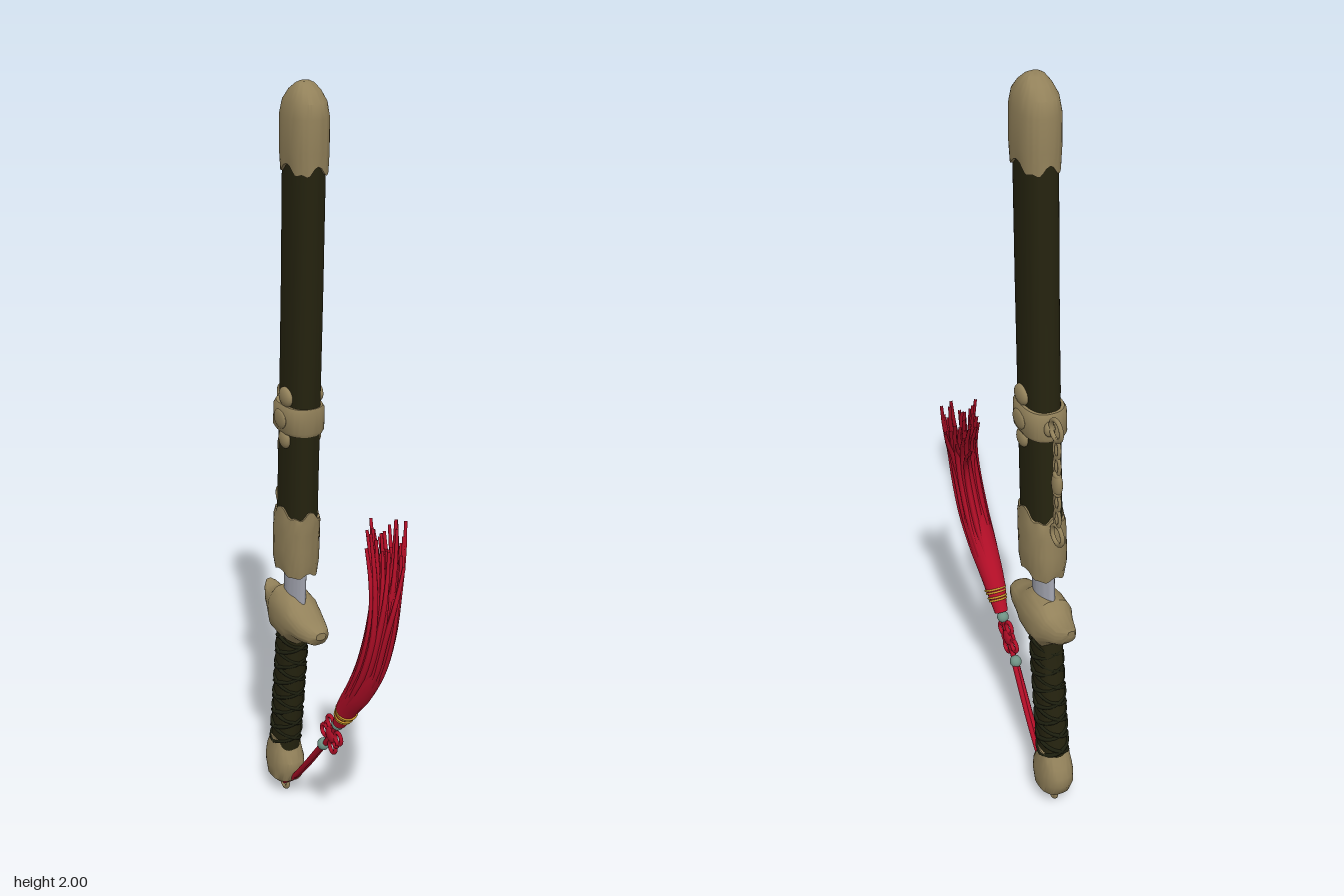
import * as THREE from 'three';
import { mergeGeometries, toCreasedNormals } from 'three/addons/utils/BufferGeometryUtils.js';

const CX = -0.016; // centre plane of the sword
const mat = (name, color) => Object.assign(new THREE.MeshStandardMaterial({ color }), { name });
const V = (x, y, z) => new THREE.Vector3(x, y, z);

// Rounded cross-sections [pos, edgeA, edgeB, halfWidth, jag] joined along y (or along z)
function loft(sections, { alongZ = false, power = 0.8, bumps = 0, seg = 48 } = {}) {
  const pos = [], idx = [];
  const put = (x, u, v) => (alongZ ? pos.push(x, v, u) : pos.push(x, u, v));
  const sp = (t) => Math.sign(t) * Math.abs(t) ** power;
  sections.forEach(([u, a, b, hw, jag = 0], i) => {
    for (let j = 0; j < seg; j++) {
      const t = (j / seg) * Math.PI * 2;
      const r = 1 + bumps * Math.sin(t * 6 + i * 2.1) * Math.cos(i * 1.7 + t * 2);
      const edge = jag * (Math.cos(t * 4) * 0.6 + Math.cos(t * 8) * 0.4);
      put(CX + hw * r * sp(Math.cos(t)), u + edge, (a + b) / 2 + (Math.abs(a - b) / 2) * r * sp(Math.sin(t)));
    }
  });
  const n = sections.length, c0 = n * seg;
  for (const s of [sections[0], sections[n - 1]]) put(CX, s[0], (s[1] + s[2]) / 2);
  for (let j = 0; j < seg; j++) {
    const k = (j + 1) % seg;
    for (let i = 0; i < n - 1; i++) {
      const a = i * seg + j, b = i * seg + k;
      idx.push(a, a + seg, b, b, a + seg, b + seg);
    }
    idx.push(c0, j, k, c0 + 1, (n - 1) * seg + k, (n - 1) * seg + j);
  }
  const g = new THREE.BufferGeometry();
  g.setAttribute('position', new THREE.Float32BufferAttribute(pos, 3));
  g.setIndex(idx);
  return toCreasedNormals(g, 0.6);
}

// Tube whose radius follows a rule of t
function taperTube(points, radius, steps = 16, sides = 6) {
  const curve = new THREE.CatmullRomCurve3(points);
  const g = new THREE.TubeGeometry(curve, steps, 1, sides);
  const p = g.attributes.position, v = new THREE.Vector3();
  for (let i = 0; i < p.count; i++) {
    const t = Math.floor(i / (sides + 1)) / steps, c = curve.getPointAt(t);
    v.fromBufferAttribute(p, i).sub(c).multiplyScalar(radius(t)).add(c);
    p.setXYZ(i, v.x, v.y, v.z);
  }
  return g;
}

const ring = (x, y, z, R, r, sy = 1, sz = 1) =>
  new THREE.TorusGeometry(R, r, 8, 20).rotateY(Math.PI / 2).scale(1, sy, sz).translate(x, y, z);
const ball = (x, y, z, rx, ry, rz) => new THREE.SphereGeometry(1, 18, 12).scale(rx, ry, rz).translate(x, y, z);

export function createModel() {
  const group = new THREE.Group();
  const bronze = mat('bronze', 0x92815a), dark = mat('darkLacquer', 0x25230f), wrap = mat('gripCord', 0x1d1f0f);
  const steel = mat('steel', 0xa3a5b0), red = mat('redSilk', 0xb20e27), jade = mat('jade', 0x6f9284), gold = mat('goldThread', 0xcf9a2c);
  const add = (name, geo, m) => {
    const mesh = new THREE.Mesh(Array.isArray(geo) ? mergeGeometries(geo) : geo, m);
    mesh.name = name;
    group.add(mesh);
  };

  // Scabbard and its fittings
  add('scabbard', loft([[0.85, -0.09, -0.226, 0.042], [1.2, -0.072, -0.203, 0.042], [1.5, -0.056, -0.187, 0.042], [1.85, -0.04, -0.172, 0.042]]), dark);
  add('scabbardTip', loft([
    [1.795, -0.036, -0.177, 0.047, 0.016], [1.84, -0.035, -0.176, 0.05], [1.92, -0.032, -0.175, 0.05], [1.955, -0.038, -0.166, 0.045],
    [1.98, -0.06, -0.142, 0.034], [1.995, -0.08, -0.12, 0.022], [2, -0.09, -0.11, 0.012]], { bumps: 0.02 }), bronze);
  add('scabbardBand', loft([[1.125, -0.075, -0.215, 0.05], [1.135, -0.071, -0.219, 0.056], [1.19, -0.068, -0.214, 0.056], [1.2, -0.07, -0.21, 0.05]]), bronze);
  for (const s of [-1, 1])
    add('bandOrnament', [ball(CX + s * 0.043, 1.222, -0.13, 0.013, 0.026, 0.03), ball(CX + s * 0.043, 1.108, -0.138, 0.013, 0.026, 0.024),
      ball(CX + s * 0.055, 1.163, -0.14, 0.007, 0.025, 0.03)], bronze);
  add('scabbardThroat', loft([
    [0.725, -0.1, -0.232, 0.046, 0.008], [0.76, -0.094, -0.238, 0.05], [0.8, -0.092, -0.236, 0.052],
    [0.85, -0.086, -0.234, 0.052], [0.88, -0.083, -0.232, 0.05], [0.9, -0.082, -0.228, 0.047, 0.016]], { bumps: 0.035 }), bronze);

  // Blade and hilt
  add('blade', loft([[0.6, -0.125, -0.228, 0.022], [0.78, -0.114, -0.218, 0.022]], { power: 1.2 }), steel);
  add('guard', loft([
    [-0.03, 0.572, 0.592, 0.014], [-0.045, 0.552, 0.603, 0.03], [-0.08, 0.545, 0.612, 0.042], [-0.12, 0.538, 0.632, 0.05],
    [-0.142, 0.515, 0.652, 0.054], [-0.18, 0.512, 0.658, 0.056], [-0.225, 0.515, 0.655, 0.054], [-0.25, 0.543, 0.632, 0.044],
    [-0.29, 0.565, 0.622, 0.03], [-0.31, 0.585, 0.628, 0.02], [-0.322, 0.61, 0.628, 0.01]], { alongZ: true, bumps: 0.03 }), bronze);
  add('grip', loft([[0.15, -0.192, -0.284, 0.034], [0.54, -0.138, -0.238, 0.036]]), dark);
  const cords = [];
  for (const dir of [-1, 1])
    for (const start of [0, Math.PI]) {
      const pts = [];
      for (let i = 0; i <= 64; i++) {
        const t = i / 64, a = start + dir * t * Math.PI * 7;
        pts.push(V(CX + 0.037 * Math.cos(a), 0.17 + t * 0.35, -0.237 + t * 0.048 + 0.047 * Math.sin(a)));
      }
      cords.push(taperTube(pts, () => 0.006, 110, 5));
    }
  add('gripWrap', cords, wrap);
  add('pommel', loft([
    [0.045, -0.205, -0.28, 0.034], [0.055, -0.19, -0.292, 0.042], [0.09, -0.175, -0.307, 0.045], [0.118, -0.175, -0.307, 0.045],
    [0.145, -0.19, -0.297, 0.042], [0.165, -0.196, -0.286, 0.04], [0.182, -0.2, -0.278, 0.038]], { bumps: 0.025 }), bronze);
  add('pommelRing', [ring(CX, 0.023, -0.243, 0.017, 0.006), ball(CX, 0.045, -0.243, 0.012, 0.01, 0.012)], bronze);

  // Hanging chain on the back of the scabbard
  const hx = -0.002;
  const chain = [ring(hx, 1.18, -0.25, 0.026, 0.006), ring(hx, 0.89, -0.265, 0.026, 0.006), ball(hx, 1.165, -0.218, 0.014, 0.02, 0.012)];
  for (const [y, z, h] of [[1.13, -0.255, 0.024], [1.085, -0.257, 0.024], [0.985, -0.261, 0.024], [0.938, -0.263, 0.024]])
    chain.push(ring(hx, y, z, 0.013, 0.0045, h / 0.013), ball(hx, y, z, 0.006, 0.02, 0.006));
  chain.push(ball(hx, 1.035, -0.259, 0.012, 0.035, 0.02), ball(hx, 1.06, -0.258, 0.01, 0.01, 0.015), ball(hx, 1.01, -0.26, 0.01, 0.01, 0.015));
  add('hangingChain', chain, bronze);

  // Cord, beads and decorative knot
  const cord = [-1, 1].map((s) => taperTube([V(CX, 0.02, -0.245), V(CX + s * 0.004, 0.055, -0.2), V(CX + s * 0.005 - 0.004, 0.15, -0.11),
    V(-0.028 + s * 0.003, 0.275, 0)], (t) => 0.006 + 0.002 * t, 20));
  cord.push(taperTube([V(-0.03, 0.27, 0), V(-0.03, 0.33, 0.048), V(-0.03, 0.43, 0.115)], () => 0.008));
  add('cord', cord, red);
  add('beads', [ball(-0.03, 0.283, 0.006, 0.016, 0.017, 0.017), ball(-0.03, 0.383, 0.083, 0.016, 0.016, 0.016)], jade);
  const knot = [ball(-0.03, 0.336, 0.05, 0.012, 0.024, 0.024)];
  for (let i = 0; i < 4; i++) {
    const a = 0.15 + (i * Math.PI) / 2;
    knot.push(ring(-0.03, 0.336 + 0.036 * Math.sin(a), 0.05 + 0.036 * Math.cos(a), 0.016, 0.0055));
    knot.push(ring(-0.03, 0.336 + 0.028 * Math.sin(a + 0.785), 0.05 + 0.028 * Math.cos(a + 0.785), 0.009, 0.005));
  }
  add('knot', knot, red);

  // Tassel: bound head, full body and loose strands
  const spine = [V(-0.03, 0.4, 0.097), V(-0.031, 0.46, 0.135), V(-0.03, 0.54, 0.195), V(-0.024, 0.63, 0.242), V(-0.017, 0.73, 0.27),
    V(-0.005, 0.84, 0.272), V(0.012, 0.93, 0.25), V(0.024, 1.01, 0.225)];
  const spread = [0.015, 0.024, 0.033, 0.036, 0.036, 0.042, 0.056, 0.072];
  add('tasselBody', taperTube(spine.slice(0, 6), (t) => (t < 0.12 ? 0.017 + 0.09 * t : 0.028 + 0.014 * Math.sin(Math.PI * (t - 0.12) / 0.88) - 0.018 * t * t), 24, 16), red);
  let seed = 7;
  const rnd = () => (seed = (seed * 16807) % 2147483647) / 2147483647;
  const strands = [];
  for (let i = 0; i < 46; i++) {
    const a = i * 2.4, r = Math.sqrt((i + 0.5) / 46), cut = rnd() * 0.12, sway = (rnd() - 0.5) * 0.03;
    const pts = spine.map((p, k) => {
      const loose = Math.max(0, k - 4) / 3;
      return V(p.x + Math.cos(a) * r * spread[k] * (1 - 0.3 * loose) + sway * loose, p.y - cut * loose, p.z + Math.sin(a) * r * spread[k] + sway * loose);
    });
    strands.push(taperTube(pts, (t) => 0.0035 + 0.006 * Math.sin(Math.PI * Math.min(1, t * 0.95)) * (1 - t * 0.3), 20, 5));
  }
  add('tasselStrands', strands, red);
  const dir = V(0, 0.06, 0.04).normalize(), turn = new THREE.Quaternion().setFromUnitVectors(V(0, 0, 1), dir);
  const threads = [0.028, 0.036, 0.05, 0.058].map((d, i) => {
    const c = V(-0.03, 0.4, 0.097).addScaledVector(dir, d);
    return new THREE.TorusGeometry(0.023 + i * 0.0015, 0.003, 6, 24).applyQuaternion(turn).translate(c.x, c.y, c.z);
  });
  add('tasselBinding', threads, gold);
  const head = taperTube([V(-0.03, 0.393, 0.092), V(-0.03, 0.43, 0.117), V(-0.03, 0.465, 0.14)], (t) => 0.018 + 0.01 * t, 8, 16);
  add('tasselHead', head, red);
  return group;
}
